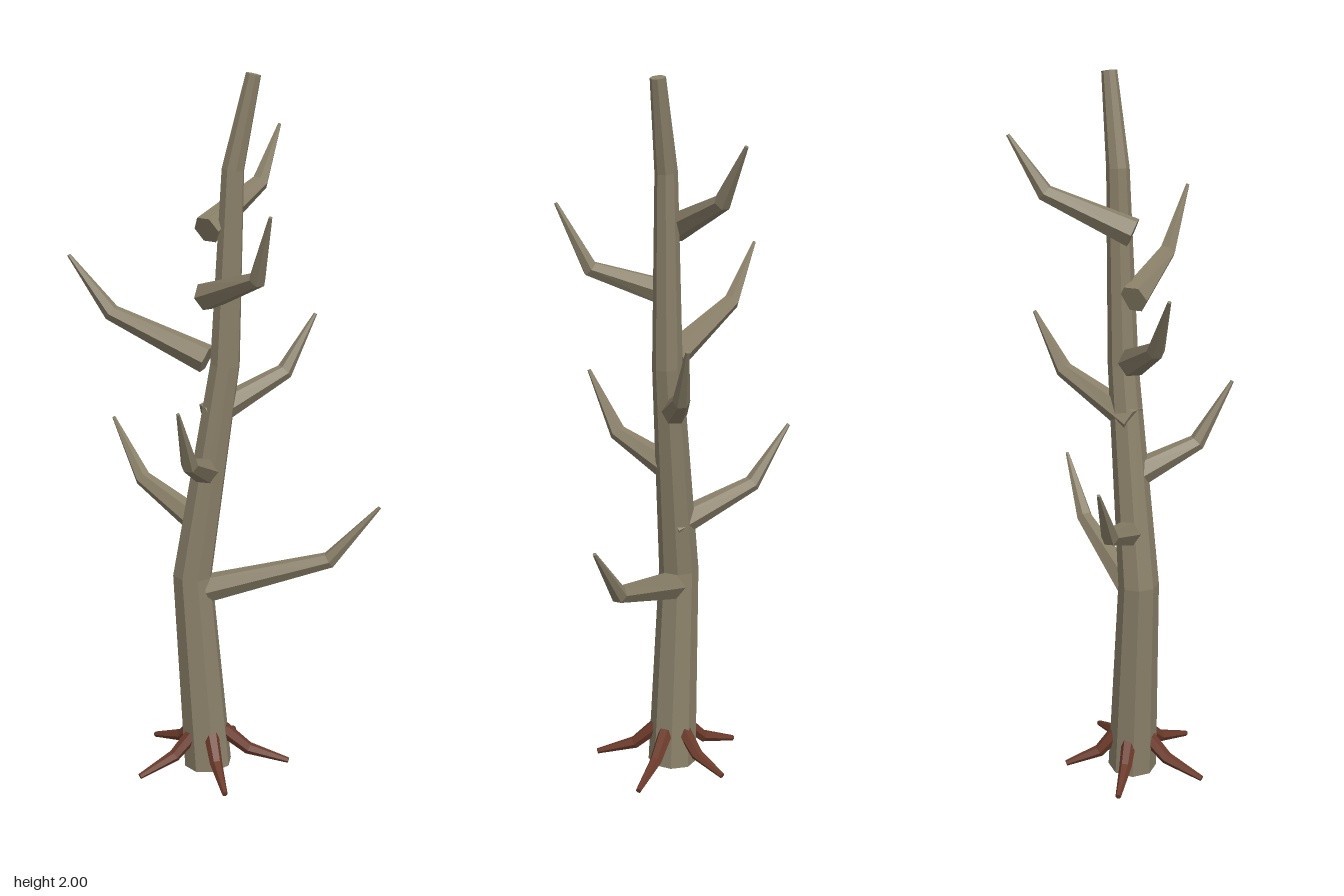
import * as THREE from 'three';

const bark = new THREE.MeshStandardMaterial({ color: 0x8a8069, flatShading: true });
bark.name = 'bark';
const rootBrown = new THREE.MeshStandardMaterial({ color: 0x6b3a2a, flatShading: true });
rootBrown.name = 'rootBrown';

// Faceted limb: a ring of corners at each path point [x, y, z, radius], capped at both ends
function limb(name, path, sides, material, ref, turn = 0) {
  const pts = path.map(p => new THREE.Vector3(p[0], p[1], p[2]));
  const last = pts.length - 1;
  const rings = pts.map((p, i) => {
    const t = new THREE.Vector3();
    if (i > 0) t.add(p.clone().sub(pts[i - 1]).normalize());
    if (i < last) t.add(pts[i + 1].clone().sub(p).normalize());
    t.normalize();
    const u = ref.clone().cross(t).normalize();
    const v = t.clone().cross(u);
    return Array.from({ length: sides }, (_, k) => {
      const a = (k / sides) * Math.PI * 2 + turn;
      return p.clone()
        .addScaledVector(u, Math.cos(a) * path[i][3])
        .addScaledVector(v, Math.sin(a) * path[i][3]);
    });
  });
  const tris = [];
  for (let k = 0; k < sides; k++) {
    const n = (k + 1) % sides;
    for (let i = 0; i < last; i++) {
      const a = rings[i], b = rings[i + 1];
      tris.push(a[k], a[n], b[n], a[k], b[n], b[k]);
    }
    tris.push(pts[0], rings[0][n], rings[0][k]);
    tris.push(pts[last], rings[last][k], rings[last][n]);
  }
  const geo = new THREE.BufferGeometry().setFromPoints(tris);
  geo.computeVertexNormals();
  const mesh = new THREE.Mesh(geo, material);
  mesh.name = name;
  return mesh;
}

export function createModel() {
  const tree = new THREE.Group();
  tree.name = 'deadTree';
  const up = new THREE.Vector3(0, 1, 0);
  const front = new THREE.Vector3(0, 0, 1);
  const cx = -0.045; // centre of the trunk foot

  // Crooked trunk
  tree.add(limb('trunk', [
    [cx, 0.005, 0, 0.07],
    [-0.088, 0.6, 0, 0.057],
    [0.004, 1.22, -0.008, 0.042],
    [0.024, 1.75, -0.014, 0.031],
    [0.077, 1.997, -0.016, 0.021],
  ], 8, bark, front, Math.PI / 8));

  // Branches: start height, elbow, tip
  const branches = [
    [0.56, [0.3, 0.66, -0.008], [0.437, 0.822, -0.01]],
    [0.74, [-0.255, 0.83, -0.155], [-0.352, 0.992, -0.226]],
    [0.91, [-0.067, 0.99, 0.185], [-0.082, 1.16, 0.283]],
    [1.07, [0.158, 1.175, -0.123], [0.238, 1.33, -0.178]],
    [1.235, [-0.318, 1.345, -0.055], [-0.438, 1.5, -0.073]],
    [1.41, [0.11, 1.495, 0.17], [0.15, 1.67, 0.249]],
    [1.59, [0.077, 1.69, -0.2], [0.122, 1.84, -0.284]],
  ];
  for (const [y, elbow, tip] of branches) {
    tree.add(limb('branch', [
      [cx, y, 0, 0.041],
      [...elbow, 0.024],
      [...tip, 0.005],
    ], 6, bark, up));
  }

  // Five roots spread evenly around the foot
  const reach = [0.238, 0.223, 0.228, 0.213, 0.195];
  reach.forEach((r, i) => {
    const a = THREE.MathUtils.degToRad(-2 + i * 72);
    const at = (d, y, radius) => [cx + Math.cos(a) * d, y, Math.sin(a) * d, radius];
    tree.add(limb('root', [
      at(0.045, 0.115, 0.022),
      at(r * 0.5, 0.055, 0.018),
      at(r, 0.02, 0.008),
    ], 6, rootBrown, up));
  });
  return tree;
}
